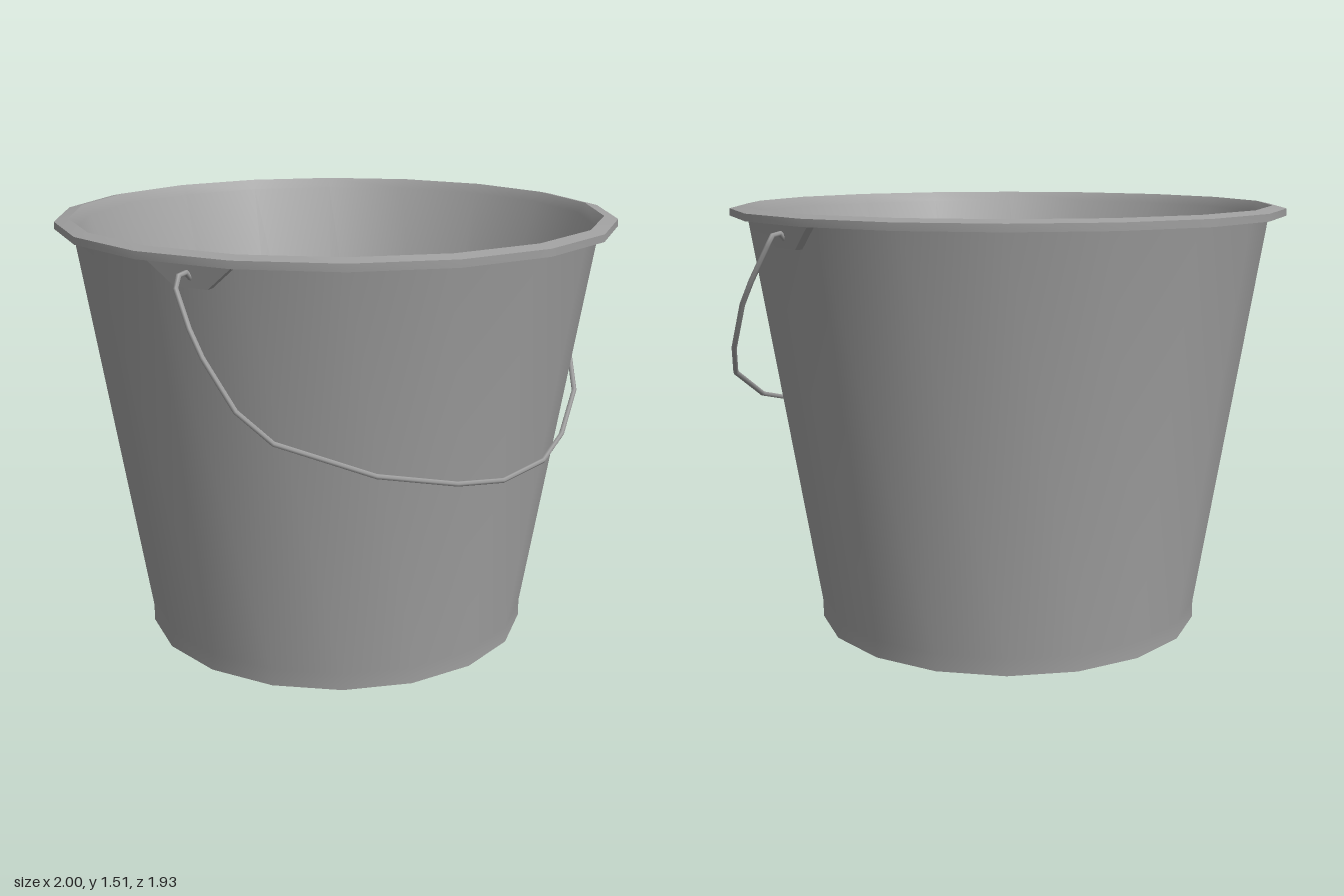
import * as THREE from 'three';
import { toCreasedNormals } from 'three/addons/utils/BufferGeometryUtils.js';

const SIDES = 18;

// Straight-segment path whose corners land exactly on the tube rings
class Polyline extends THREE.Curve {
  constructor(points) {
    super();
    this.points = points;
  }
  getPoint(t, target = new THREE.Vector3()) {
    const f = t * (this.points.length - 1);
    const i = Math.min(Math.floor(f), this.points.length - 2);
    return target.lerpVectors(this.points[i], this.points[i + 1], f - i);
  }
  getPointAt(u, target) { return this.getPoint(u, target); }
  getTangentAt(u, target) { return this.getTangent(u, target); }
}

export function createModel() {
  const group = new THREE.Group();
  const material = new THREE.MeshStandardMaterial({ color: 0x9f9f9f });
  const add = (name, geometry) => {
    const mesh = new THREE.Mesh(geometry, material);
    mesh.name = name;
    group.add(mesh);
  };

  // Bucket: recessed underside, foot collar, tapered wall, sloped rim, inside, floor
  const profile = [
    [0, 0.06], [0.49, 0.06], [0.49, 0],
    [0.695, 0], [0.695, 0.06], [0.92, 1.48],
    [0.98, 1.48], [0.98, 1.505], [0.932, 1.515],
    [0.905, 1.48], [0.557, 0.1], [0, 0.1],
  ].map(([r, y]) => new THREE.Vector2(r, y));
  add('bucket', toCreasedNormals(
    new THREE.LatheGeometry(profile, SIDES, Math.PI / 2), 0.6));

  // Handle lugs: trapezoid plates on the wall facet just in front of each side
  const plate = new THREE.Shape([[-0.06, 1.4], [0.06, 1.4], [0.16, 1.482], [-0.16, 1.482]]
    .map(([u, y]) => new THREE.Vector2(u, y)));
  // Leans the plate outward with the taper of the wall
  const lean = new THREE.Matrix4().set(
    1, 0, 0, 0,
    0, 1, 0, 0,
    0, 0.156, 1, 0.674,
    0, 0, 0, 1);
  for (const [name, side] of [['leftLug', 1], ['rightLug', -1]]) {
    const lug = new THREE.ExtrudeGeometry(plate, { depth: 0.028, bevelEnabled: false });
    lug.applyMatrix4(lean);
    lug.rotateY(side * THREE.MathUtils.degToRad(80));
    add(name, lug);
  }

  // Wire handle: half path from the left lug to the middle, then mirrored
  const half = [
    [0.9, 1.425, 0.16], [0.925, 1.45, 0.16], [0.955, 1.445, 0.16], [0.975, 1.41, 0.165],
    [0.99, 1.3, 0.23], [0.99, 1.22, 0.28], [0.955, 1.065, 0.375], [0.885, 0.965, 0.46],
    [0.62, 0.83, 0.645], [0.335, 0.75, 0.755], [0.13, 0.715, 0.8],
  ];
  const path = [...half, ...half.map(([x, y, z]) => [-x, y, z]).reverse()]
    .map((p) => new THREE.Vector3(...p));
  add('handle', new THREE.TubeGeometry(new Polyline(path), path.length - 1, 0.009, 6));

  return group;
}
